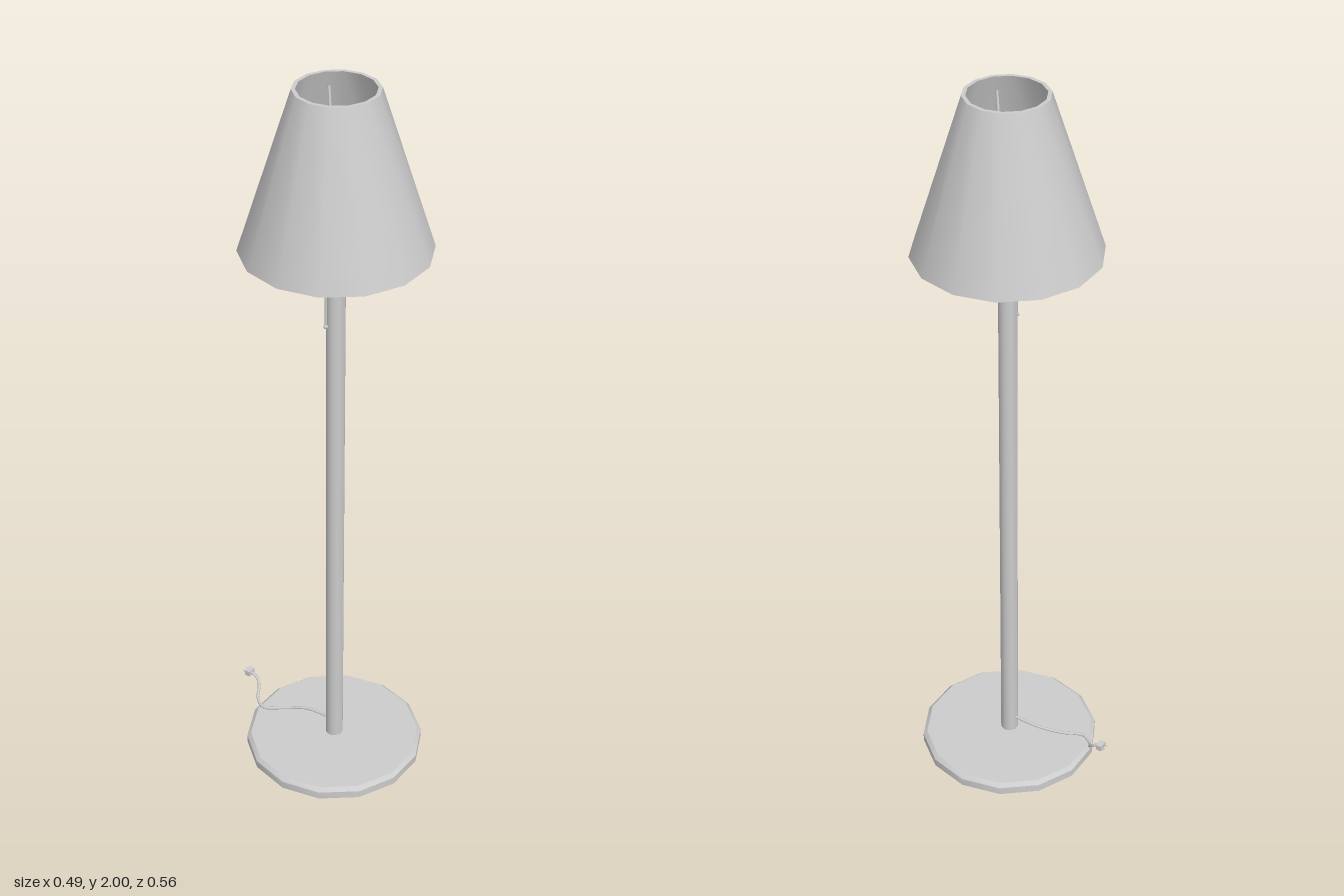
import * as THREE from 'three';
import { toCreasedNormals } from 'three/addons/utils/BufferGeometryUtils.js';

const SIDES = 14;
const AXIS_Z = 0.035;

export function createModel() {
  const model = new THREE.Group();
  model.name = 'floorLamp';
  const grey = new THREE.MeshStandardMaterial({ color: 0xcccccc, side: THREE.DoubleSide });

  const lamp = new THREE.Group();
  lamp.name = 'lampBody';
  lamp.position.z = AXIS_Z;
  model.add(lamp);

  const add = (parent, name, geometry, x = 0, y = 0, z = 0) => {
    const mesh = new THREE.Mesh(geometry, grey);
    mesh.name = name;
    mesh.position.set(x, y, z);
    parent.add(mesh);
    return mesh;
  };
  // Revolved part with a corner on the x axis and crisp profile edges
  const turned = (profile) => {
    const points = profile.map(([r, y]) => new THREE.Vector2(r, y));
    return toCreasedNormals(new THREE.LatheGeometry(points, SIDES, Math.PI / 2), 0.6);
  };
  // Straight round rod between two points
  const rod = (a, b, radius) =>
    new THREE.TubeGeometry(new THREE.LineCurve3(a, b), 1, radius, 8);

  // Weighted base with a bevelled rim and a hole under the pole
  add(lamp, 'base', turned([
    [0.022, 0.003], [0.24, 0.003], [0.247, 0], [0.247, 0.022], [0.236, 0.032], [0.022, 0.032],
  ]));

  // Hollow pole
  add(lamp, 'pole', turned([[0.024, 0.005], [0.024, 1.58]]));

  // Bulb holder with a tapered collar
  add(lamp, 'socket', turned([
    [0.024, 1.57], [0.032, 1.57], [0.04, 1.585], [0.04, 1.73], [0.03, 1.73], [0.026, 1.72], [0, 1.72],
  ]));

  // Bulb: narrow neck swelling into a round globe
  const bulb = [[0.015, 1.72], [0.016, 1.745], [0.022, 1.77]];
  for (let i = 0; i <= 8; i++) {
    const a = -0.5 + (i / 8) * (Math.PI / 2 + 0.5);
    bulb.push([Math.max(0, 0.031 * Math.cos(a)), 1.8 + 0.031 * Math.sin(a)]);
  }
  add(lamp, 'bulb', new THREE.LatheGeometry(bulb.map(([r, y]) => new THREE.Vector2(r, y)), 24));

  // Thin-walled tapered shade, open at both ends
  add(lamp, 'shade', turned([
    [0.23, 1.585], [0.24, 1.585], [0.106, 2], [0.096, 2], [0.23, 1.585],
  ]));

  // Four diagonal arms carrying the shade
  for (let i = 0; i < 4; i++) {
    const a = Math.PI / 4 + (i * Math.PI) / 2;
    const at = (r, y) => new THREE.Vector3(r * Math.cos(a), y, r * Math.sin(a));
    add(lamp, 'shadeArm', rod(at(0.032, 1.725), at(0.106, 1.96), 0.0035));
  }

  // Pull switch
  add(lamp, 'switchHousing', new THREE.BoxGeometry(0.012, 0.018, 0.018), -0.043, 1.62);
  add(lamp, 'pullChain', new THREE.CylinderGeometry(0.003, 0.003, 0.23, 8), -0.043, 1.505);
  add(lamp, 'pullKnob', new THREE.SphereGeometry(0.006, 10, 8), -0.043, 1.386);

  // Power cord trailing off the back of the base
  const path = [
    [0, 0.072, 0.02], [-0.005, 0.067, -0.06], [-0.03, 0.055, -0.12], [-0.057, 0.05, -0.175],
    [-0.035, 0.053, -0.21], [-0.01, 0.07, -0.224], [0, 0.088, -0.238], [-0.001, 0.1, -0.258],
  ].map((p) => new THREE.Vector3(...p));
  add(model, 'powerCord', new THREE.TubeGeometry(new THREE.CatmullRomCurve3(path), 48, 0.004, 8));

  // Two-pin plug
  const plug = new THREE.Group();
  plug.name = 'plug';
  plug.position.set(-0.001, 0.1, -0.264);
  model.add(plug);
  add(plug, 'plugBody', new THREE.BoxGeometry(0.025, 0.016, 0.016));
  for (const side of [-1, 1]) {
    const pin = add(plug, 'plugPin', new THREE.CylinderGeometry(0.002, 0.002, 0.014, 8), side * 0.008, 0, -0.01);
    pin.rotation.x = Math.PI / 2;
  }

  return model;
}
